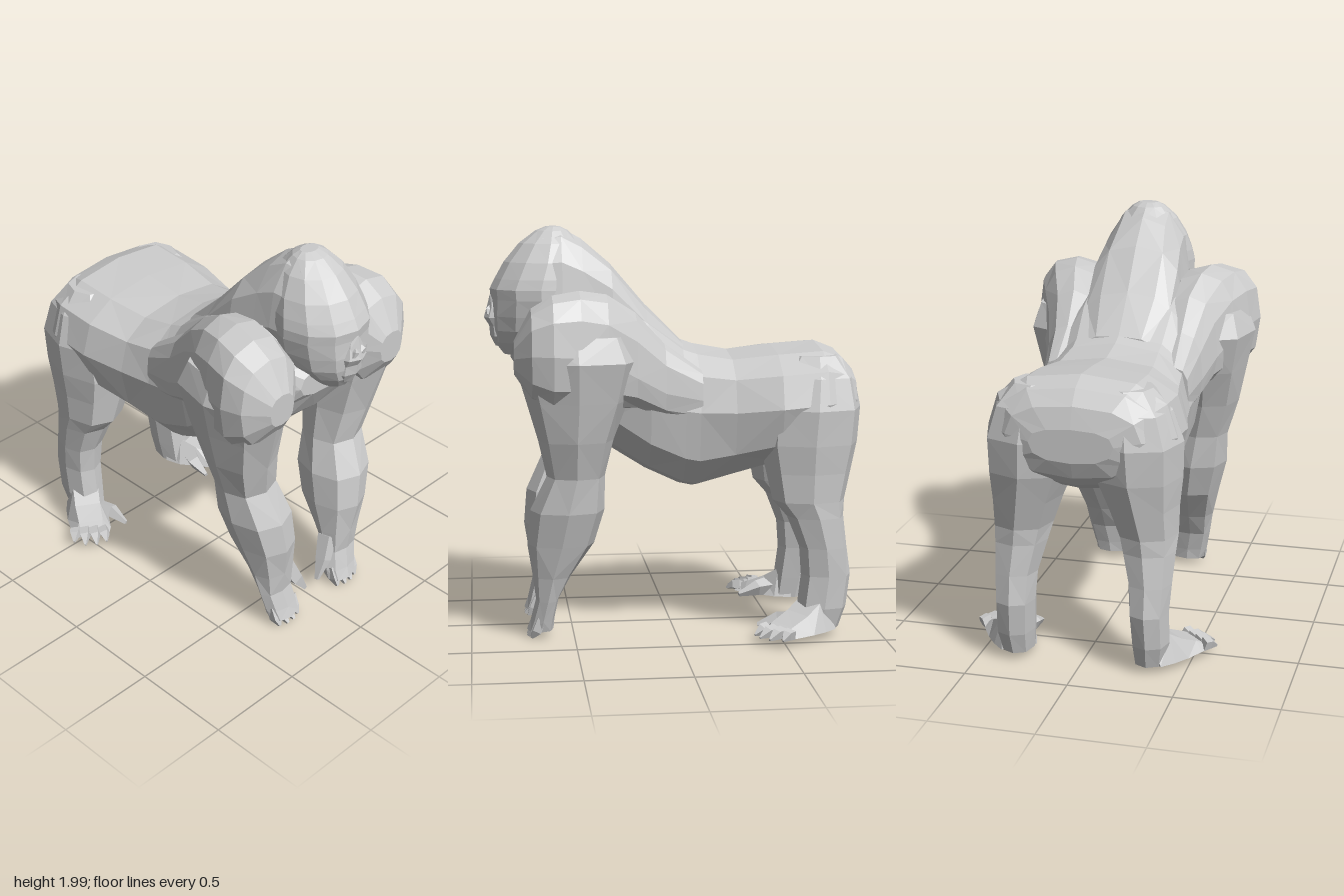
import * as THREE from 'three';

const material = new THREE.MeshStandardMaterial({ color: 0xcccccc, flatShading: true });

// Skin a list of point rings, closing both ends; the winding is fixed by the signed volume.
function loft(name, rings) {
  const n = rings[0].length, pts = rings.flat(), tris = [];
  const centre = r => r.reduce((s, p) => s.add(p), new THREE.Vector3()).divideScalar(n);
  rings.slice(1).forEach((_, k) => {
    for (let i = 0; i < n; i++) {
      const a = k * n + i, b = k * n + (i + 1) % n, c = a + n, d = b + n;
      if ((i + k) % 2) tris.push(a, b, d, a, d, c);
      else tris.push(a, b, c, b, d, c);
    }
  });
  const last = (rings.length - 1) * n, c0 = pts.length;
  pts.push(centre(rings[0]), centre(rings[rings.length - 1]));
  for (let i = 0; i < n; i++) {
    const j = (i + 1) % n;
    tris.push(c0, j, i, c0 + 1, last + i, last + j);
  }
  let volume = 0;
  for (let t = 0; t < tris.length; t += 3) {
    const [a, b, c] = [pts[tris[t]], pts[tris[t + 1]], pts[tris[t + 2]]];
    volume += a.dot(b.clone().cross(c));
  }
  if (volume < 0) tris.reverse();
  const geometry = new THREE.BufferGeometry().setFromPoints(pts);
  geometry.setIndex(tris);
  const flat = geometry.toNonIndexed();
  flat.computeVertexNormals();
  const mesh = new THREE.Mesh(flat, material);
  mesh.name = name;
  return mesh;
}

const soft = (v, p) => Math.sign(v) * Math.abs(v) ** p;

// Level ring filling the extents x0..x1, z0..z1 at height y.
function levelRing(side, [y, x0, x1, z0, z1], n = 8, p = 0.85) {
  return Array.from({ length: n }, (_, i) => {
    const a = i / n * Math.PI * 2;
    return new THREE.Vector3(
      side * ((x0 + x1) / 2 + (x1 - x0) / 2 * soft(Math.cos(a), p)), y,
      (z0 + z1) / 2 + (z1 - z0) / 2 * soft(Math.sin(a), p));
  });
}

// Upright egg-shaped ring: widest at height mid, centred on x = cx.
function bodyRing([z, bottom, top, half, mid, p = 0.8], cx = 0, n = 12) {
  return Array.from({ length: n }, (_, i) => {
    const a = i / n * Math.PI * 2 + Math.PI / 2, s = soft(Math.sin(a), p);
    return new THREE.Vector3(cx + half * soft(Math.cos(a), p), mid + s * (s > 0 ? top - mid : mid - bottom), z);
  });
}

// Tapered four-sided digit through a few points.
function digit(name, side, path, radii) {
  const pts = path.map(p => new THREE.Vector3(side * p[0], p[1], p[2]));
  const dir = pts[pts.length - 1].clone().sub(pts[0]).normalize();
  const u = new THREE.Vector3(0, 0, 1).cross(dir).normalize();
  const v = dir.clone().cross(u);
  return loft(name, pts.map((p, k) => [0, 1, 2, 3].map(i => {
    const a = i * Math.PI / 2 + Math.PI / 4;
    return p.clone().addScaledVector(u, Math.cos(a) * radii[k]).addScaledVector(v, Math.sin(a) * radii[k]);
  })));
}

function createArm(side) {
  const arm = new THREE.Group();
  arm.name = side > 0 ? 'leftArm' : 'rightArm';
  // Shoulder runs forward out of the back: z, bottom, top, inner x, outer x, widest height
  arm.add(loft('shoulder', [
    [-0.12, 1.05, 1.32, 0.22, 0.37, 1.18], [0.06, 1.08, 1.45, 0.18, 0.4, 1.22],
    [0.2, 1.14, 1.6, 0.15, 0.445, 1.3], [0.34, 1.14, 1.69, 0.15, 0.51, 1.38],
    [0.47, 1.14, 1.71, 0.15, 0.56, 1.41], [0.6, 1.14, 1.69, 0.17, 0.59, 1.42],
    [0.7, 1.2, 1.63, 0.2, 0.56, 1.42], [0.78, 1.32, 1.48, 0.3, 0.45, 1.4]
  ].map(([z, y0, y1, x0, x1, mid]) => bodyRing([z, y0, y1, (x1 - x0) / 2, mid], side * (x0 + x1) / 2))));
  // y, inner x, outer x, back z, front z
  arm.add(loft('arm', [
    [1.5, 0.24, 0.54, 0.24, 0.74], [1.38, 0.19, 0.585, 0.19, 0.78], [1.19, 0.19, 0.545, 0.24, 0.725],
    [1.0, 0.19, 0.505, 0.31, 0.67], [0.82, 0.17, 0.45, 0.35, 0.63], [0.65, 0.125, 0.44, 0.35, 0.71],
    [0.48, 0.12, 0.395, 0.4, 0.725], [0.32, 0.13, 0.355, 0.51, 0.7], [0.2, 0.14, 0.335, 0.575, 0.685],
    [0.1, 0.125, 0.315, 0.595, 0.71], [0.045, 0.13, 0.3, 0.6, 0.73]
  ].map(r => levelRing(side, r))));
  for (let i = 0; i < 4; i++) {
    const x = 0.155 + i * 0.043, reach = i === 0 || i === 3 ? 0 : 0.015;
    arm.add(digit('finger', side, [[x, 0.11, 0.66], [x, 0.05, 0.685], [x - 0.005, 0.015, 0.71 + reach]],
      [0.03, 0.03, 0.009]));
  }
  arm.add(digit('thumb', side, [[0.16, 0.29, 0.62], [0.105, 0.18, 0.645], [0.045, 0.09, 0.66]],
    [0.05, 0.04, 0.012]));
  return arm;
}

function createLeg(side) {
  const leg = new THREE.Group();
  leg.name = side > 0 ? 'leftLeg' : 'rightLeg';
  leg.add(loft('thighAndShin', [
    [1.38, 0.1, 0.33, -0.8, -0.58], [1.28, 0.05, 0.42, -0.88, -0.48], [1.13, 0.03, 0.47, -0.91, -0.42],
    [0.96, 0.05, 0.465, -0.895, -0.41], [0.82, 0.11, 0.45, -0.86, -0.44], [0.68, 0.16, 0.445, -0.825, -0.47],
    [0.6, 0.18, 0.44, -0.82, -0.54], [0.45, 0.22, 0.43, -0.835, -0.6], [0.31, 0.23, 0.42, -0.855, -0.61],
    [0.15, 0.24, 0.42, -0.835, -0.59], [0.045, 0.25, 0.4, -0.8, -0.58]
  ].map(r => levelRing(side, r))));
  // Foot sections run from the heel outwards: centre x, centre z, half width, top y
  leg.add(loft('foot', [
    [0.32, -0.72, 0.09, 0.13], [0.36, -0.65, 0.11, 0.19], [0.41, -0.58, 0.11, 0.14],
    [0.46, -0.5, 0.105, 0.1], [0.5, -0.45, 0.09, 0.075]
  ].map(([x, z, w, top]) => [[-1, 0.045], [-0.6, top], [0.6, top - 0.01], [1, 0.045]].map(([s, y]) =>
    new THREE.Vector3(side * (x + s * w * 0.8), y, z - s * w * 0.6)))));
  [[0.475, -0.36], [0.53, -0.375], [0.575, -0.415], [0.6, -0.475]].forEach(([x, z], i) => {
    const bx = 0.435 + i * 0.036, bz = -0.435 - i * 0.03;
    leg.add(digit('toe', side, [[bx, 0.07, bz], [(bx + x) / 2, 0.07, (bz + z) / 2], [x, 0.05, z]],
      [0.035, 0.03, 0.006]));
  });
  leg.add(digit('bigToe', side, [[0.36, 0.085, -0.6], [0.31, 0.085, -0.5], [0.3, 0.055, -0.4]],
    [0.055, 0.04, 0.012]));
  return leg;
}

export function createModel() {
  const model = new THREE.Group();
  model.name = 'ape';

  // Rump, belly, back and chest: z, bottom, top, half width, height of widest point
  model.add(loft('torso', [
    [-0.91, 1.06, 1.22, 0.2, 1.15], [-0.88, 0.98, 1.32, 0.32, 1.17], [-0.82, 0.93, 1.39, 0.4, 1.17],
    [-0.72, 0.88, 1.43, 0.45, 1.16], [-0.5, 0.83, 1.415, 0.45, 1.14], [-0.28, 0.76, 1.39, 0.4, 1.12],
    [-0.11, 0.705, 1.42, 0.375, 1.12], [-0.04, 0.72, 1.445, 0.375, 1.13], [0.13, 0.8, 1.58, 0.39, 1.2],
    [0.32, 0.92, 1.7, 0.38, 1.3, 0.9], [0.5, 1.05, 1.72, 0.36, 1.4, 0.9], [0.64, 1.18, 1.6, 0.31, 1.4],
    [0.73, 1.33, 1.48, 0.2, 1.4]
  ].map(r => bodyRing(r))));

  // Head with a tall crown that runs on into the back
  const head = new THREE.Group();
  head.name = 'head';
  head.add(loft('neckAndCrest', [
    [-0.05, 1.2, 1.44, 0.2, 1.35], [0.13, 1.25, 1.62, 0.24, 1.42], [0.3, 1.35, 1.82, 0.24, 1.55],
    [0.44, 1.4, 1.94, 0.225, 1.63], [0.54, 1.4, 1.995, 0.22, 1.66], [0.63, 1.4, 1.985, 0.215, 1.66]
  ].map(r => bodyRing(r[0] > 0.4 ? [...r, 0.95] : r))));
  head.add(loft('skull', [
    [1.38, -0.07, 0.07, 0.68, 0.82], [1.44, -0.14, 0.14, 0.52, 0.865], [1.5, -0.195, 0.195, 0.42, 0.88],
    [1.57, -0.215, 0.215, 0.4, 0.885], [1.65, -0.23, 0.23, 0.4, 0.88], [1.7, -0.23, 0.23, 0.4, 0.885],
    [1.75, -0.22, 0.22, 0.4, 0.86], [1.83, -0.195, 0.195, 0.4, 0.815], [1.92, -0.145, 0.145, 0.44, 0.74],
    [1.98, -0.085, 0.085, 0.5, 0.66], [2.0, -0.05, 0.05, 0.54, 0.61]
  ].map(r => levelRing(1, r, 12, 1))));
  head.add(loft('muzzle', [
    [1.42, -0.05, 0.05, 0.74, 0.86], [1.47, -0.08, 0.08, 0.74, 0.885], [1.52, -0.075, 0.075, 0.74, 0.89],
    [1.56, -0.08, 0.08, 0.74, 0.915], [1.61, -0.06, 0.06, 0.74, 0.9], [1.67, -0.03, 0.03, 0.74, 0.885]
  ].map(r => levelRing(1, r, 8, 0.95))));
  for (const side of [1, -1]) {
    head.add(digit('nostril', side, [[0.008, 1.62, 0.875], [0.022, 1.595, 0.89], [0.035, 1.57, 0.89]],
      [0.01, 0.02, 0.012]));
  }
  model.add(head);

  for (const side of [1, -1]) model.add(createArm(side), createLeg(side));
  return model;
}
